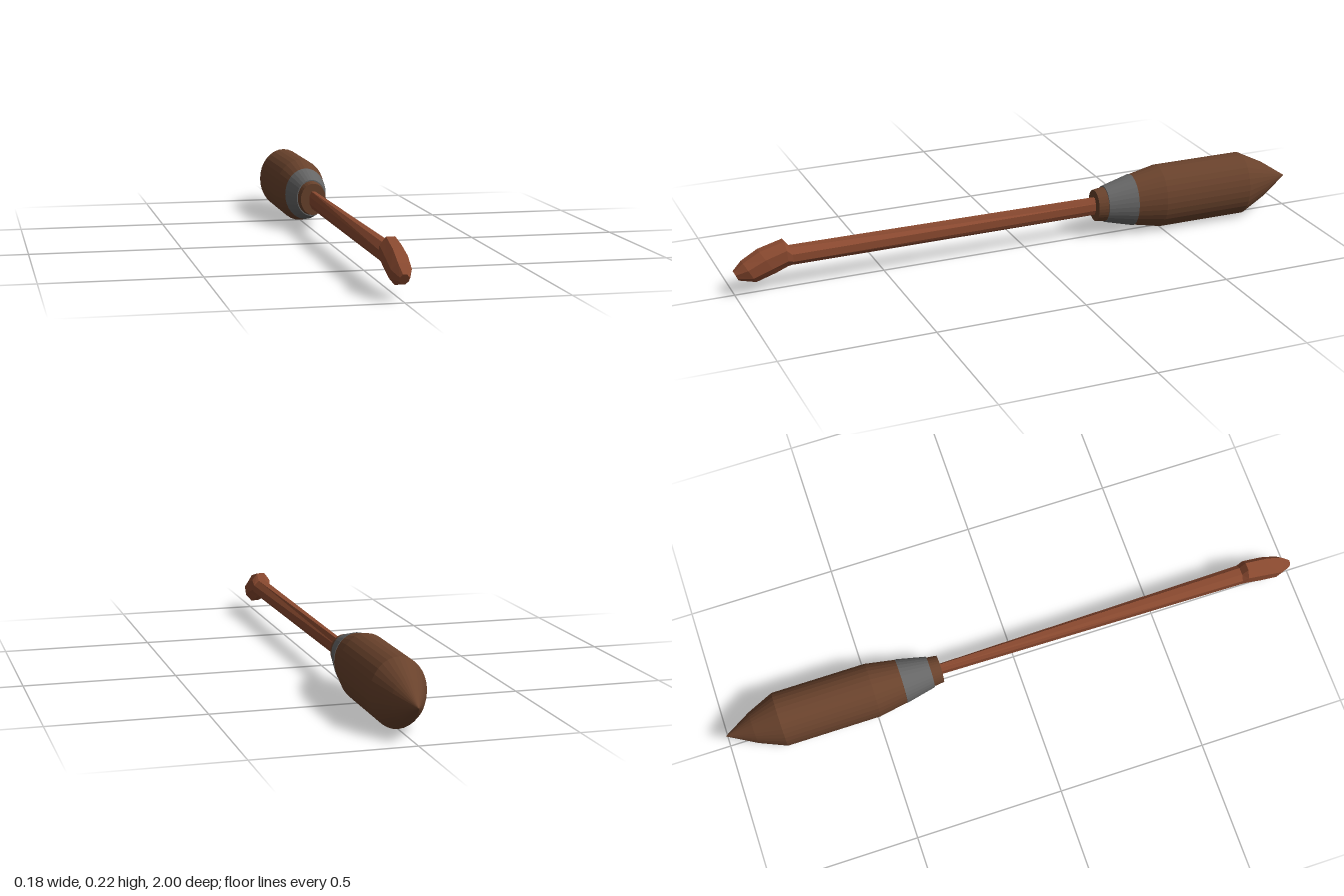
import * as THREE from 'three';

const SIDES = 8;

// Hard-edged facets
function facet(geometry) {
  const g = geometry.toNonIndexed();
  g.computeVertexNormals();
  return g;
}

// Turned part along z, oval in section; profile is [height radius, z] from back to front
function ovalTurned(profile) {
  const g = new THREE.LatheGeometry(profile.map(([r, z]) => new THREE.Vector2(r, z)), 32);
  g.rotateX(Math.PI / 2);
  g.scale(0.81, 1, 1);
  g.translate(0, 0.112, 0);
  return facet(g);
}

// Skin over tilted eight-sided sections: [top z, top y, bottom z, bottom y, half width]
function loft(stations) {
  const pos = [], index = [];
  const k = 1 / Math.cos(Math.PI / SIDES);
  for (const [zt, yt, zb, yb, w] of stations) {
    for (let i = 0; i < SIDES; i++) {
      const a = ((i + 0.5) / SIDES) * Math.PI * 2;
      const t = (1 + Math.sin(a) * k) / 2;
      pos.push(Math.cos(a) * k * w, yb + (yt - yb) * t, zb + (zt - zb) * t);
    }
  }
  for (let s = 0; s < stations.length - 1; s++) {
    for (let i = 0; i < SIDES; i++) {
      const a = s * SIDES + i, b = s * SIDES + (i + 1) % SIDES;
      index.push(a, b, b + SIDES, a, b + SIDES, a + SIDES);
    }
  }
  // End caps
  const last = (stations.length - 1) * SIDES;
  for (let i = 1; i < SIDES - 1; i++) {
    index.push(0, i + 1, i, last, last + i, last + i + 1);
  }
  const g = new THREE.BufferGeometry();
  g.setAttribute('position', new THREE.Float32BufferAttribute(pos, 3));
  g.setIndex(index);
  return facet(g);
}

export function createModel() {
  const material = (name, color) => {
    const m = new THREE.MeshStandardMaterial({ color });
    m.name = name;
    return m;
  };
  const handleWood = material('reddish wood', 0x8b4a30);
  const bristleBrown = material('bristle brown', 0x69422c);
  const bandGrey = material('band grey', 0x666666);

  const group = new THREE.Group();
  group.name = 'broom';
  const add = (name, geometry, mat) => {
    const mesh = new THREE.Mesh(geometry, mat);
    mesh.name = name;
    group.add(mesh);
  };

  // Long shaft, widening toward the grip
  add('shaft', loft([
    [-0.30, 0.14, -0.30, 0.08, 0.014],
    [0.815, 0.14, 0.81, 0.08, 0.03],
  ]), handleWood);

  // Down-curved grip with a raised heel
  add('grip', loft([
    [0.812, 0.138, 0.808, 0.081, 0.03],
    [0.833, 0.165, 0.825, 0.078, 0.033],
    [0.915, 0.143, 0.865, 0.062, 0.034],
    [0.97, 0.112, 0.93, 0.041, 0.031],
    [1.0, 0.084, 0.985, 0.053, 0.014],
  ]), handleWood);

  // Bristle bundle with a pointed tail
  add('bristles', ovalTurned([
    [0, -1], [0.064, -0.905], [0.11, -0.815], [0.11, -0.495], [0.088, -0.39], [0, -0.39],
  ]), bristleBrown);

  // Binding band
  add('band', ovalTurned([
    [0, -0.395], [0.091, -0.395], [0.064, -0.293], [0, -0.293],
  ]), bandGrey);

  // Collar where the shaft enters
  add('collar', ovalTurned([
    [0, -0.3], [0.061, -0.3], [0.055, -0.258], [0, -0.258],
  ]), bristleBrown);

  return group;
}
